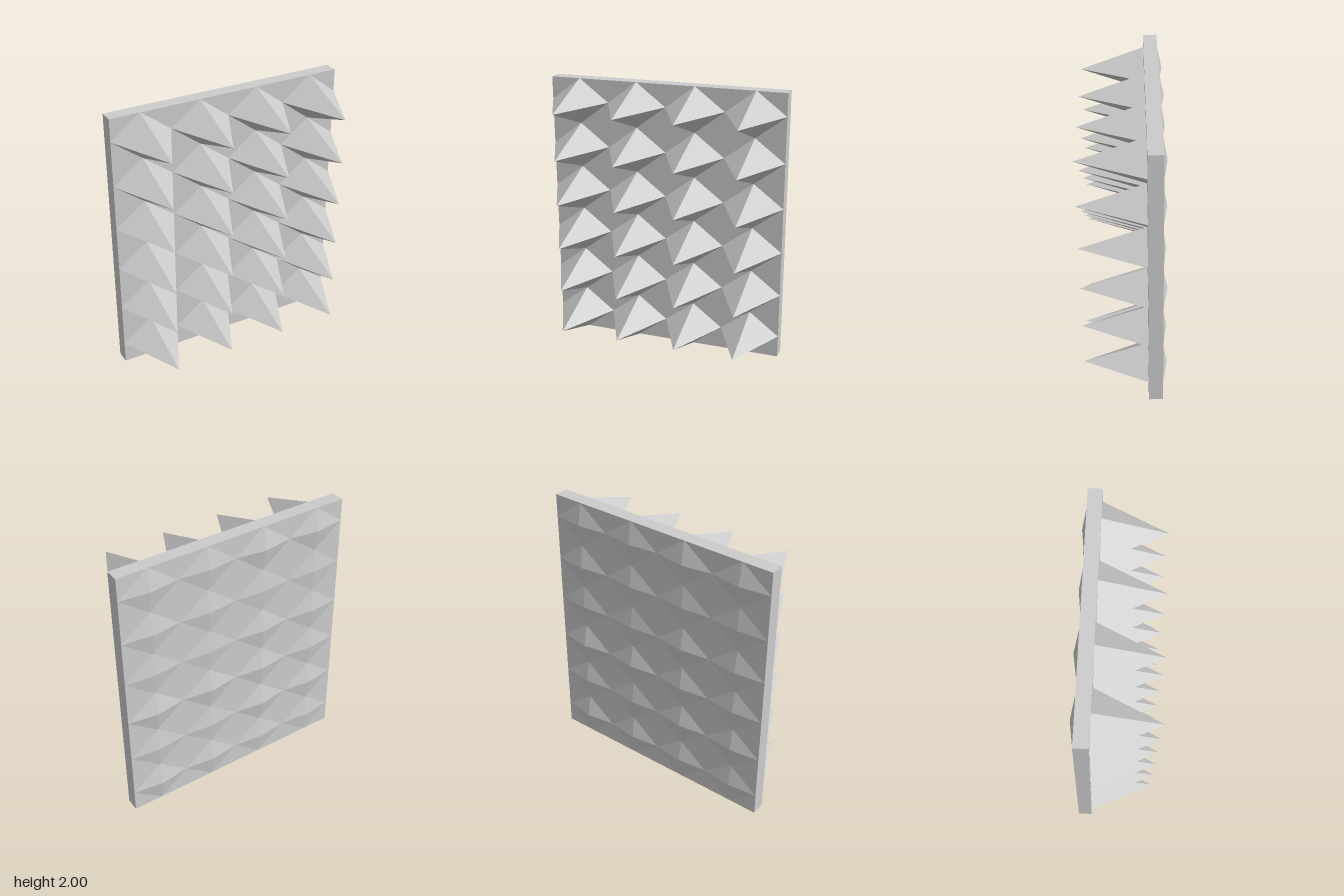
import * as THREE from 'three';

const COLS = 4, ROWS = 6, W = 1.765, H = 2, T = 0.1;
const CELL_W = W / COLS, CELL_H = H / ROWS;

// Open four-sided pyramid on a diamond base, pointing along +z
function diamondSpike(height) {
  const g = new THREE.ConeGeometry(1, 1, 4, 1, true);
  g.translate(0, 0.5, 0);
  g.rotateX(Math.PI / 2);
  g.scale(CELL_W / 2, CELL_H / 2, height);
  return g;
}

export function createModel() {
  const group = new THREE.Group();
  group.name = 'spikedPanel';
  const material = new THREE.MeshStandardMaterial({ color: 0xcccccc, flatShading: true });
  const add = (parent, geometry, name) => {
    const mesh = new THREE.Mesh(geometry, material);
    mesh.name = name;
    parent.add(mesh);
    return mesh;
  };

  // The whole panel leans slightly forward
  const panel = new THREE.Group();
  panel.name = 'leaningPanel';
  panel.position.set(0, 1, -0.215);
  panel.rotation.x = 0.02;
  group.add(panel);
  add(panel, new THREE.BoxGeometry(W, H - 0.002, T), 'slab');

  // Tall spikes in front, shallow uneven bumps behind
  const spike = diamondSpike(0.46);
  const bumpHeights = [0.032, 0.031, 0.034, 0.028, 0.027, 0.034];
  for (let r = 0; r < ROWS; r++) {
    for (let c = 0; c < COLS; c++) {
      const x = (c + 0.5) * CELL_W - W / 2;
      const y = (r + 0.5) * CELL_H - H / 2;
      add(panel, spike, 'frontSpike').position.set(x, y, T / 2);

      const height = bumpHeights[r] - 0.003 * ((3 - c + 2 * r) % 4);
      const bump = add(panel, diamondSpike(height), 'backBump');
      bump.position.set(x, y, -T / 2);
      bump.rotation.y = Math.PI;
    }
  }
  return group;
}
